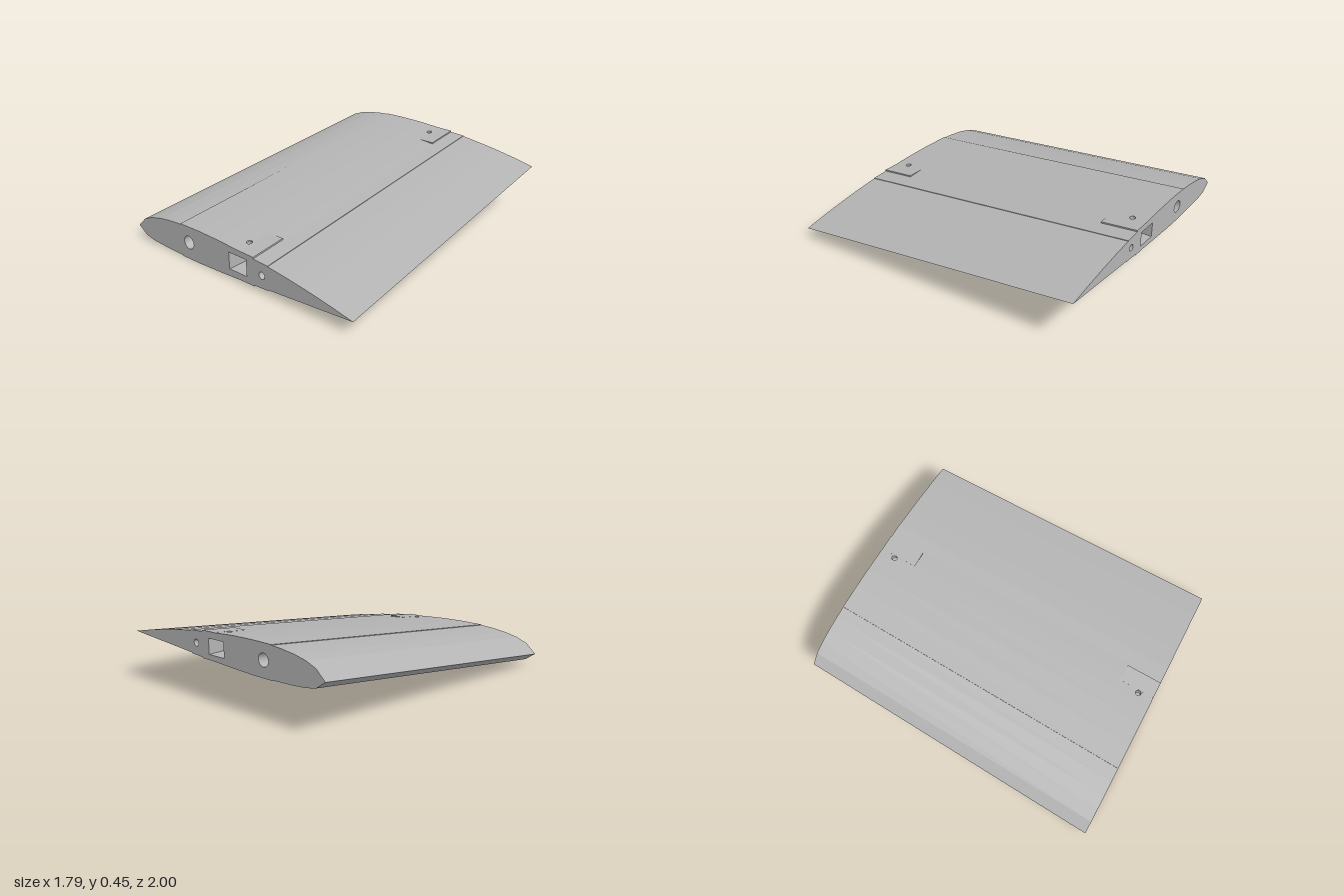
import * as THREE from 'three';
import { mergeGeometries } from 'three/addons/utils/BufferGeometryUtils.js';

const P = (x, y) => new THREE.Vector2(x, y);

// Spanwise placement: the section shrinks and rises toward the back end
const taper = z => 1 - 0.09 * (1 - z) / 2;
const rise = z => 0.25 * (1 - z) / 2;
const sweep = (u, v, z) => [u * taper(z), v * taper(z) + rise(z), z];

const PIN_U = 0.031, PIN_R = 0.018, PIN_Z = 0.9;

// Moves a flat geometry's vertices by a rule and gives it flat normals
function mapped(geo, rule, flip = false) {
  const g = geo.index ? geo.toNonIndexed() : geo;
  const p = g.attributes.position;
  for (let i = 0; i < p.count; i++) p.setXYZ(i, ...rule(p.getX(i), p.getY(i), p.getZ(i)));
  if (flip) {
    for (let i = 0; i < p.count; i += 3) {
      const a = [p.getX(i), p.getY(i), p.getZ(i)];
      p.setXYZ(i, p.getX(i + 1), p.getY(i + 1), p.getZ(i + 1));
      p.setXYZ(i + 1, ...a);
    }
  }
  g.computeVertexNormals();
  return g;
}

// Walls along a closed loop, from z0 to z1; counterclockwise loops face outward.
// Long near-horizontal panels that cross a pin position get its hole.
function walls(loop, z0, z1, place, pins = []) {
  return mergeGeometries(loop.map((a, i) => {
    const b = loop[(i + 1) % loop.length];
    const shape = new THREE.Shape([P(0, z0), P(1, z0), P(1, z1), P(0, z1)]);
    const s = (PIN_U - a.x) / (b.x - a.x);
    if (s > 0 && s < 1) {
      for (const z of pins) {
        const hole = new THREE.Path();
        hole.absellipse(s, z, PIN_R / Math.abs(b.x - a.x), PIN_R, 0, Math.PI * 2, true);
        shape.holes.push(hole);
      }
    }
    return mapped(new THREE.ShapeGeometry(shape, 10),
      (t, z) => place(a.x + (b.x - a.x) * t, a.y + (b.y - a.y) * t, z));
  }));
}

function cap(loop, holes, z, place, facesBack) {
  const shape = new THREE.Shape(loop);
  shape.holes = holes.map(h => new THREE.Path(h));
  return mapped(new THREE.ShapeGeometry(shape), (u, v) => place(u, v, z), facesBack);
}

// Clockwise loops, whose walls face inward
function circle(x, y, r, n = 28) {
  return Array.from({ length: n }, (_, i) => {
    const a = -i / n * Math.PI * 2;
    return P(x + r * Math.cos(a), y + r * Math.sin(a));
  });
}
const rect = (x0, x1, y0, y1) => [P(x0, y0), P(x0, y1), P(x1, y1), P(x1, y0)];

export function createModel() {
  const group = new THREE.Group();
  const grey = new THREE.MeshStandardMaterial({ color: 0xb4b4b4 });
  grey.name = 'plain grey';
  const add = (name, geo) => {
    const mesh = new THREE.Mesh(geo, grey);
    mesh.name = name;
    group.add(mesh);
  };

  // Section outline: underside nose to tail, then upper side back to the nose,
  // with small steps where the centre sheeting ends
  const section = [
    [-0.9, 0.08], [-0.83, 0.031], [-0.75, 0.015], [-0.62, 0.007], [-0.47, 0.004], [-0.47, 0],
    [-0.3, 0.001], [-0.1, 0.009], [0.1, 0.02], [0.28, 0.031], [0.28, 0.036], [0.895, 0.08],
    [0.74, 0.113], [0.58, 0.142], [0.43, 0.165], [0.28, 0.184], [0.28, 0.188], [0.18, 0.193],
    [0.09, 0.202], [-0.02, 0.21], [-0.14, 0.217], [-0.3, 0.221], [-0.47, 0.219], [-0.47, 0.215],
    [-0.56, 0.209], [-0.66, 0.196], [-0.75, 0.176], [-0.83, 0.145],
  ].map(([x, y]) => P(x, y));
  add('wing skin', walls(section, -1, 1, sweep, [PIN_Z, -PIN_Z]));

  // Round spar bores running the whole span
  const mainBore = circle(-0.4, 0.113, 0.043);
  const rearBore = circle(0.23, 0.11, 0.023);
  add('main spar bore', walls(mainBore, -1, 1, sweep));
  add('rear spar bore', walls(rearBore, -1, 1, sweep));

  for (const side of [1, -1]) {
    const label = side > 0 ? 'front' : 'back';
    const inner = 0.76 * side, z0 = Math.min(inner, side), z1 = Math.max(inner, side);

    // Blind joiner socket, level rather than following the rise
    const [low, high] = side > 0 ? [0.06, 0.168] : [0.055, 0.16];
    const socket = rect(-0.04, 0.105, low, high);
    const level = (u, v, z) => [u * taper(side), v * taper(side) + rise(side), z];
    add(label + ' end rib', cap(section, [mainBore, rearBore, socket], side, sweep, side < 0));
    add(label + ' socket', mergeGeometries([
      walls(socket, z0, z1, level, [PIN_Z * side]),
      cap(socket, [], inner, level, side < 0),
    ]));

    // Vertical pin hole, above and below the socket
    const zPin = PIN_Z * side;
    const spans = [
      [sweep(0, 0.0165, zPin)[1], level(0, low, zPin)[1]],
      [level(0, high, zPin)[1], sweep(0, 0.206, zPin)[1]],
    ];
    add(label + ' pin hole', mergeGeometries(spans.map(([y0, y1]) => {
      const tube = new THREE.CylinderGeometry(PIN_R, PIN_R, y1 - y0, 20, 1, true);
      return mapped(tube, (x, y, z) =>
        [x + PIN_U * taper(zPin), y + (y0 + y1) / 2, z + zPin], true);
    })));

    // Socket reinforcement standing slightly proud of the skin
    const plates = {
      upper: [P(0.05, 0.196), P(0.165, 0.185), P(0.165, 0.204), P(0.05, 0.2055)],
      lower: [P(0.05, 0.0175), P(0.165, 0.0185), P(0.165, 0.035), P(0.05, 0.025)],
    };
    for (const [where, loop] of Object.entries(plates)) {
      add(`${label} ${where} reinforcement`, mergeGeometries([
        walls(loop, z0, z1, sweep),
        cap(loop, [], z1, sweep, false),
        cap(loop, [], z0, sweep, true),
      ]));
    }
  }
  return group;
}
